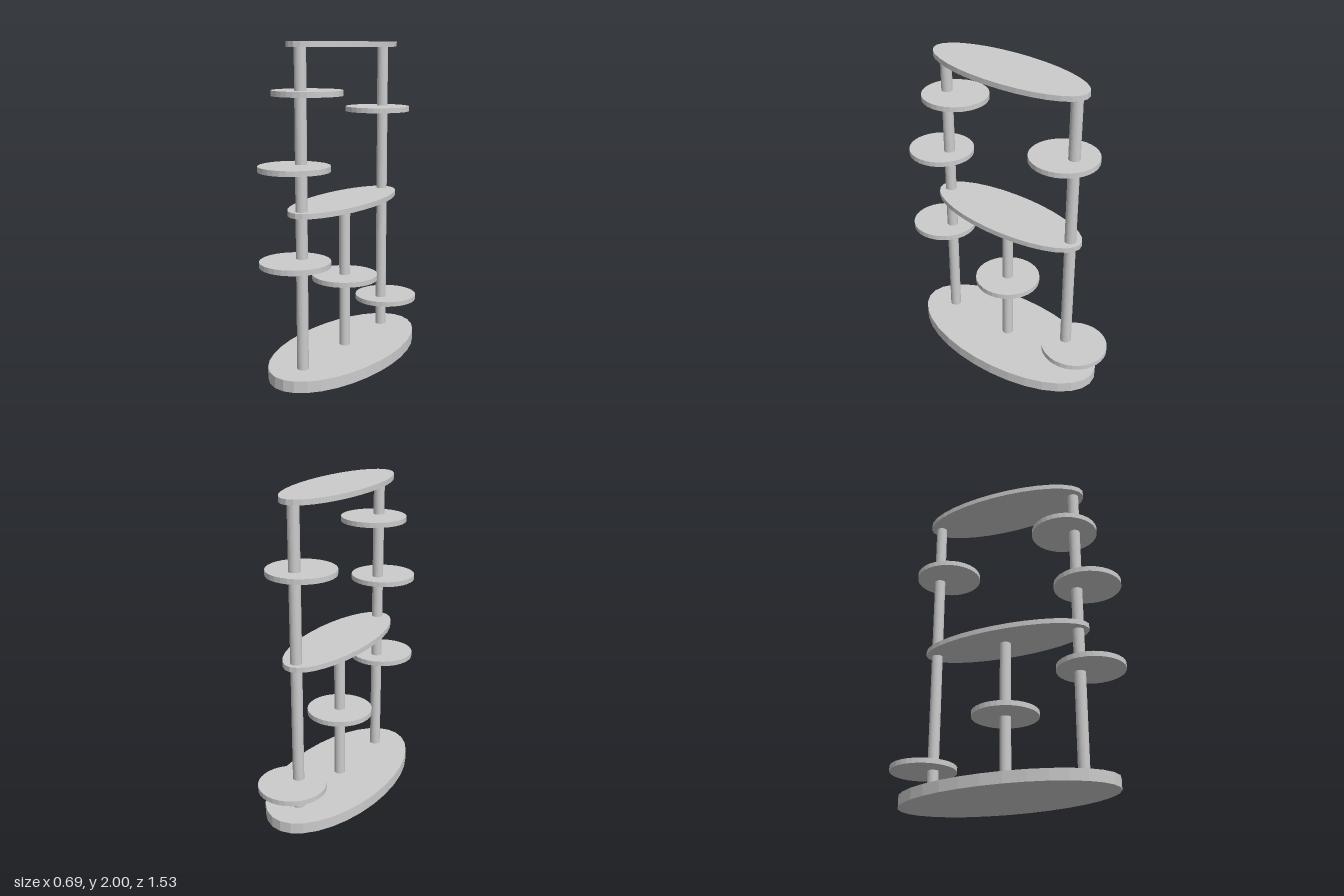
import * as THREE from 'three';

export function createModel() {
  const group = new THREE.Group();
  const material = new THREE.MeshStandardMaterial({ color: 0xcccccc, flatShading: true });

  // Elliptical slab or post spanning yBottom..yTop
  function add(name, rx, rz, yBottom, yTop, z, sides = 32) {
    const geometry = new THREE.CylinderGeometry(1, 1, yTop - yBottom, sides);
    geometry.scale(rx, 1, rz);
    const mesh = new THREE.Mesh(geometry, material);
    mesh.name = name;
    mesh.position.set(0, (yBottom + yTop) / 2, z);
    group.add(mesh);
  }

  // Base and the two long oval platforms
  add('base', 0.347, 0.695, 0, 0.07, 0);
  add('middlePlatform', 0.209, 0.555, 0.998, 1.03, 0);
  add('topPlatform', 0.209, 0.555, 1.968, 2, 0);

  // Posts
  add('frontPost', 0.035, 0.035, 0.07, 1.968, 0.487);
  add('backPost', 0.035, 0.035, 0.07, 1.968, -0.487);
  add('centrePost', 0.035, 0.035, 0.07, 0.998, 0);

  // Round perches: [centre height, z]
  const perches = [
    [0.248, -0.555], [0.525, 0], [0.735, 0.557],
    [1.291, 0.557], [1.568, -0.418], [1.71, 0.418],
  ];
  perches.forEach(([y, z], i) => add(`perch${i + 1}`, 0.209, 0.209, y - 0.016, y + 0.016, z));

  return group;
}
